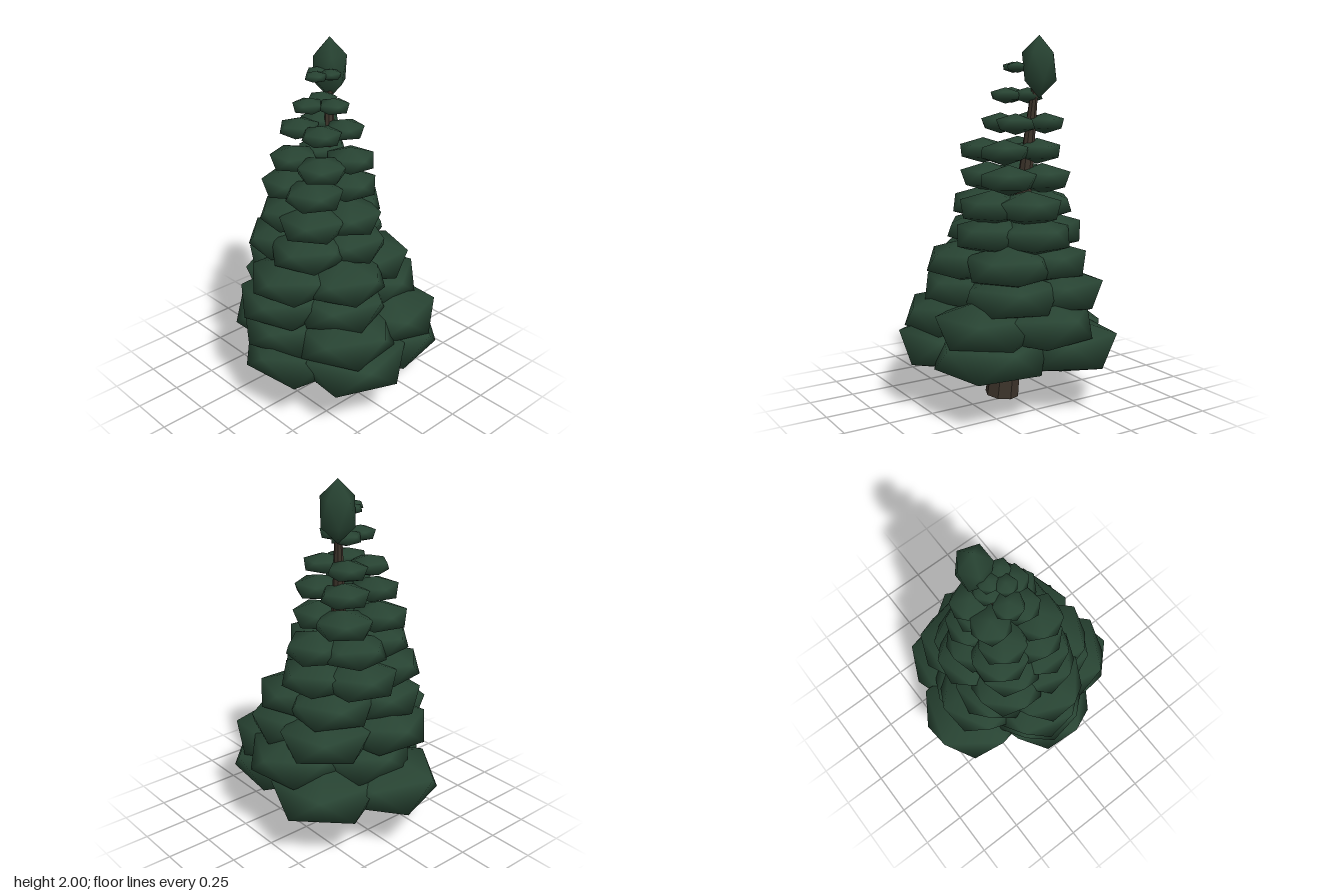
import * as THREE from 'three';
import { mergeGeometries, mergeVertices } from 'three/addons/utils/BufferGeometryUtils.js';

// Foliage tiers, bottom to top: x range, z range, blob angles in degrees from the front
const TIERS = [
  { x: [-0.60, 0.595], z: [-0.54, 0.565], angles: [7, 63, 132, 214, 286] },
  { x: [-0.46, 0.55], z: [-0.56, 0.54], angles: [-14, 57, 128, 196, 270] },
  { x: [-0.49, 0.45], z: [-0.47, 0.54], angles: [-2, 70, 142, 214, 286] },
  { x: [-0.40, 0.44], z: [-0.40, 0.51], angles: [4, 76, 148, 220, 292] },
  { x: [-0.40, 0.33], z: [-0.37, 0.40], angles: [34, 106, 178, 250, 322] },
  { x: [-0.335, 0.305], z: [-0.33, 0.35], angles: [33, 105, 177, 249, 321] },
  { x: [-0.305, 0.215], z: [-0.24, 0.305], angles: [42, 132, 222, 312] },
  { x: [-0.255, 0.22], z: [-0.20, 0.265], angles: [45, 138, 225, 312] },
  { x: [-0.265, 0.13], z: [-0.19, 0.175], angles: [42, 135, 228, 318] },
  { x: [-0.165, 0.115], z: [-0.11, 0.17], angles: [340, 108, 225] },
  { x: [-0.155, 0.035], z: [-0.085, 0.105], angles: [14, 129, 260] },
];

// Small seeded generator giving values from -1 to 1
function makeRandom(seed) {
  return () => {
    seed = (seed * 16807) % 2147483647;
    return (seed / 2147483647) * 2 - 1;
  };
}

// Smooth-shaded icosahedron standing on a corner
function blobGeometry(radius, halfHeight, spin) {
  let blob = new THREE.IcosahedronGeometry(1, 0);
  blob.deleteAttribute('normal');
  blob.deleteAttribute('uv');
  blob = mergeVertices(blob);
  blob.computeVertexNormals();
  blob.rotateZ(Math.atan(2 / (1 + Math.sqrt(5))));
  blob.rotateY(spin);
  blob.scale(radius, halfHeight, radius);
  return blob;
}

// Blob centres along one axis, spread so that the blobs fill the range
function spread(values, [min, max], reach) {
  const low = Math.min(...values);
  const high = Math.max(...values);
  return values.map((v) => THREE.MathUtils.mapLinear(v, low, high, min + reach, max - reach));
}

// One ring of blobs; tiers get thinner and smaller towards the top
function tierGeometry({ x, z, angles }, index, random) {
  const halfHeight = 0.162 - 0.0132 * index;
  const radius = halfHeight * 2.06;
  const y = 0.345 + 0.1487 * index;
  const turns = angles.map(THREE.MathUtils.degToRad);
  const xs = spread(turns.map(Math.sin), x, radius * 0.88);
  const zs = spread(turns.map(Math.cos), z, radius * 0.88);
  return mergeGeometries(turns.map((turn, i) =>
    blobGeometry(radius, halfHeight, turn + random()).translate(xs[i], y, zs[i])));
}

export function createModel() {
  const tree = new THREE.Group();
  tree.name = 'conifer';
  const needles = new THREE.MeshStandardMaterial({ color: 0x284433 });
  needles.name = 'dark green needles';
  const bark = new THREE.MeshStandardMaterial({ color: 0x3d342b });
  bark.name = 'brown bark';

  // Leaning, tapered trunk with flat facets
  const base = new THREE.Vector3(0.037, 0.01, 0.04);
  const tip = new THREE.Vector3(-0.095, 1.75, -0.09);
  const axis = tip.clone().sub(base);
  const trunkGeometry = new THREE.CylinderGeometry(0.018, 0.095, axis.length(), 8).toNonIndexed();
  trunkGeometry.computeVertexNormals();
  const trunk = new THREE.Mesh(trunkGeometry, bark);
  trunk.name = 'trunk';
  trunk.position.copy(base).add(tip).multiplyScalar(0.5);
  trunk.quaternion.setFromUnitVectors(new THREE.Vector3(0, 1, 0), axis.normalize());
  tree.add(trunk);

  // Tiers of foliage
  const random = makeRandom(4217);
  TIERS.forEach((tier, i) => {
    const mesh = new THREE.Mesh(tierGeometry(tier, i, random), needles);
    mesh.name = `foliageTier${i + 1}`;
    tree.add(mesh);
  });

  // Upright crown at the trunk's tip
  const crown = new THREE.Mesh(blobGeometry(0.103, 0.165, 0), needles);
  crown.name = 'crown';
  crown.position.set(-0.11, 1.835, -0.105);
  tree.add(crown);

  return tree;
}
